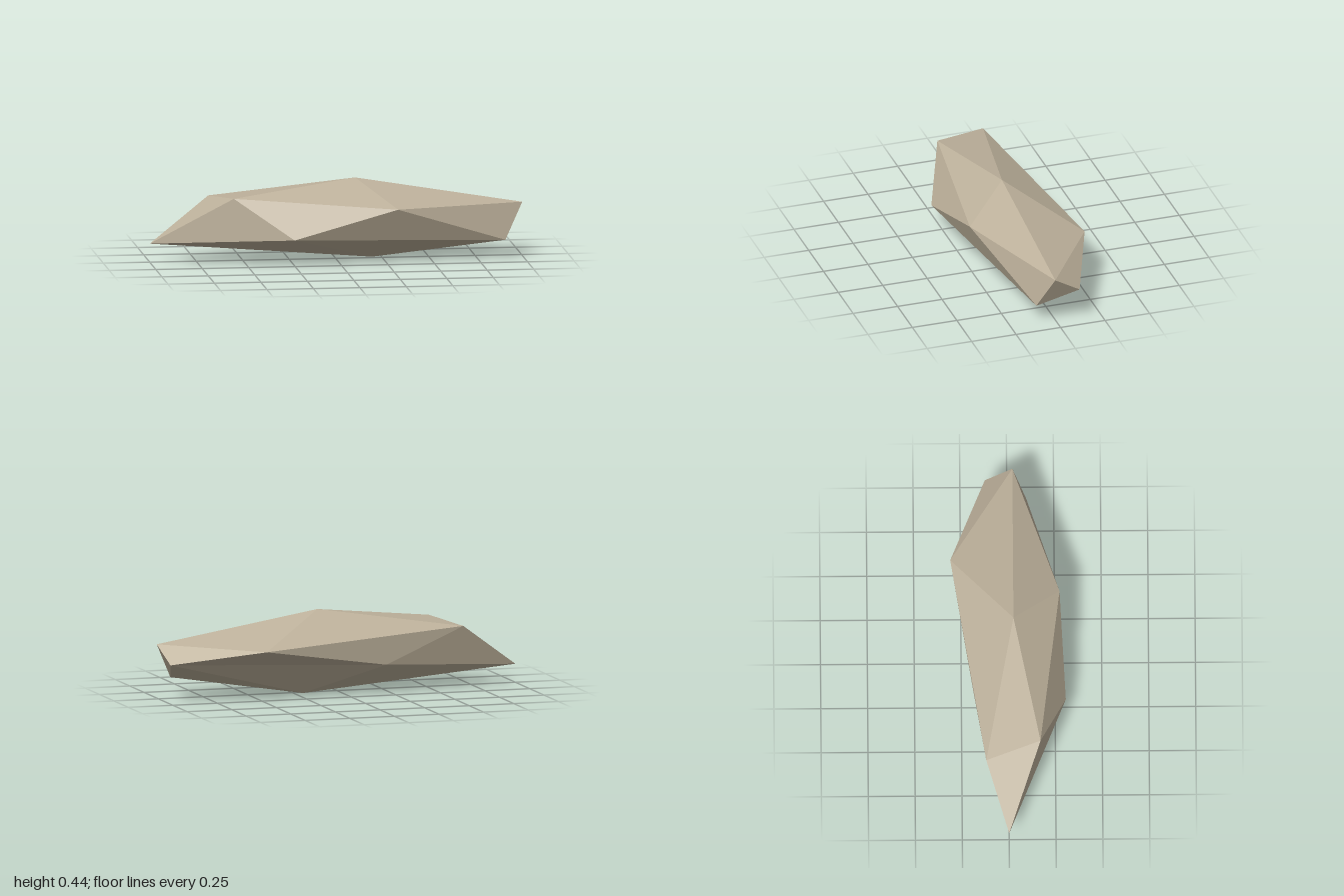
import * as THREE from 'three';

// Elongated, faceted stone: two tips joined by two offset five-point rings.
export function createModel() {
  const group = new THREE.Group();
  group.name = 'stoneShard';

  const stone = new THREE.MeshStandardMaterial({ color: 0xbcb09a });
  stone.name = 'warm grey stone';

  const leftTip = [1.0, 0.29, 0.03];
  const rightTip = [-1.0, 0.1, 0.0];

  // Ring around the left half: top, back, lower back, lower front, front
  const leftRing = [
    [0.1, 0.44, 0.03], [0.49, 0.27, -0.305], [0.97, 0.195, -0.117],
    [0.9, 0.098, 0.103], [0.3, 0.3, 0.277],
  ];
  // Ring around the right half, each point between two of the left ring
  const rightRing = [
    [-0.67, 0.335, -0.12], [-0.22, 0.155, -0.185], [0.2, 0.0, -0.032],
    [-0.26, 0.15, 0.307], [-0.57, 0.36, 0.17],
  ];

  // Caps at both tips and a zigzag band between the rings
  const corners = [];
  for (let i = 0; i < 5; i++) {
    const j = (i + 1) % 5;
    corners.push(leftTip, leftRing[j], leftRing[i]);
    corners.push(leftRing[i], leftRing[j], rightRing[i]);
    corners.push(leftRing[j], rightRing[j], rightRing[i]);
    corners.push(rightTip, rightRing[i], rightRing[j]);
  }

  // Unshared corners give flat facets
  const geometry = new THREE.BufferGeometry();
  geometry.setAttribute('position', new THREE.Float32BufferAttribute(corners.flat(), 3));
  geometry.computeVertexNormals();

  const mesh = new THREE.Mesh(geometry, stone);
  mesh.name = 'stone';
  group.add(mesh);
  return group;
}
